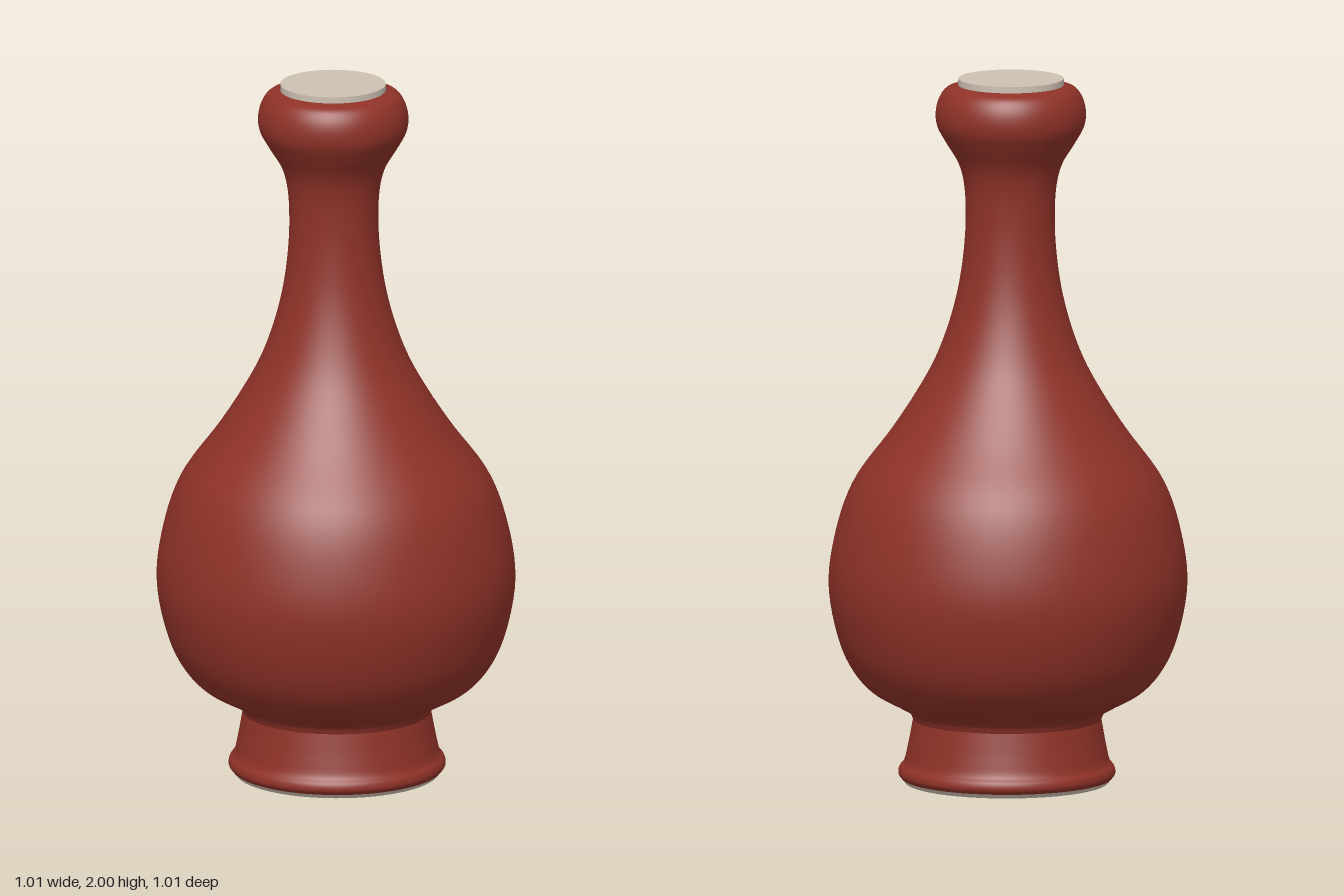
import * as THREE from 'three';

const SEGMENTS = 96;

// Slight hand-thrown lean: shift each ring sideways with its height
function lean(geometry) {
  const p = geometry.attributes.position;
  for (let i = 0; i < p.count; i++) {
    p.setX(i, p.getX(i) + 0.005 - 0.006 * p.getY(i));
    p.setZ(i, p.getZ(i) + 0.003);
  }
  return geometry;
}

// Smooth surface of revolution through [radius, height] points
function turned(points, divisions) {
  const curve = new THREE.CatmullRomCurve3(points.map(([r, y]) => new THREE.Vector3(r, y, 0)), false, 'centripetal');
  const profile = curve.getPoints(divisions).map((v) => new THREE.Vector2(v.x, v.y));
  return lean(new THREE.LatheGeometry(profile, SEGMENTS));
}

export function createModel() {
  const glaze = new THREE.MeshStandardMaterial({ color: 0x8f3228 });
  glaze.name = 'red glaze';
  const clay = new THREE.MeshStandardMaterial({ color: 0xcdc1b3 });
  clay.name = 'pale clay';

  const vase = new THREE.Group();
  vase.name = 'vase';
  const add = (name, geometry, material) => {
    const mesh = new THREE.Mesh(geometry, material);
    mesh.name = name;
    vase.add(mesh);
  };

  // Flared foot ring
  add('foot', turned([
    [0.295, 0.012], [0.304, 0.025], [0.302, 0.042], [0.289, 0.06],
    [0.279, 0.1], [0.264, 0.18],
  ], 40), glaze);

  // Pear-shaped belly, neck and bulbous mouth
  add('body', turned([
    [0.264, 0.18], [0.274, 0.2], [0.31, 0.222], [0.385, 0.265], [0.437, 0.325],
    [0.475, 0.41], [0.503, 0.56], [0.487, 0.7], [0.437, 0.85], [0.33, 1.0],
    [0.265, 1.1], [0.21, 1.2], [0.172, 1.3], [0.146, 1.4], [0.131, 1.5],
    [0.125, 1.6], [0.13, 1.7], [0.146, 1.76], [0.182, 1.82], [0.206, 1.865],
    [0.211, 1.9], [0.203, 1.94], [0.183, 1.97], [0.148, 1.982],
  ], 130), glaze);

  // Unglazed discs closing the mouth and the base
  const mouth = new THREE.CylinderGeometry(0.148, 0.148, 0.02, SEGMENTS).translate(0, 1.99, 0);
  add('mouthDisc', lean(mouth), clay);
  const base = new THREE.CylinderGeometry(0.297, 0.285, 0.015, SEGMENTS).translate(0, 0.0075, 0);
  add('baseDisc', lean(base), clay);

  return vase;
}
